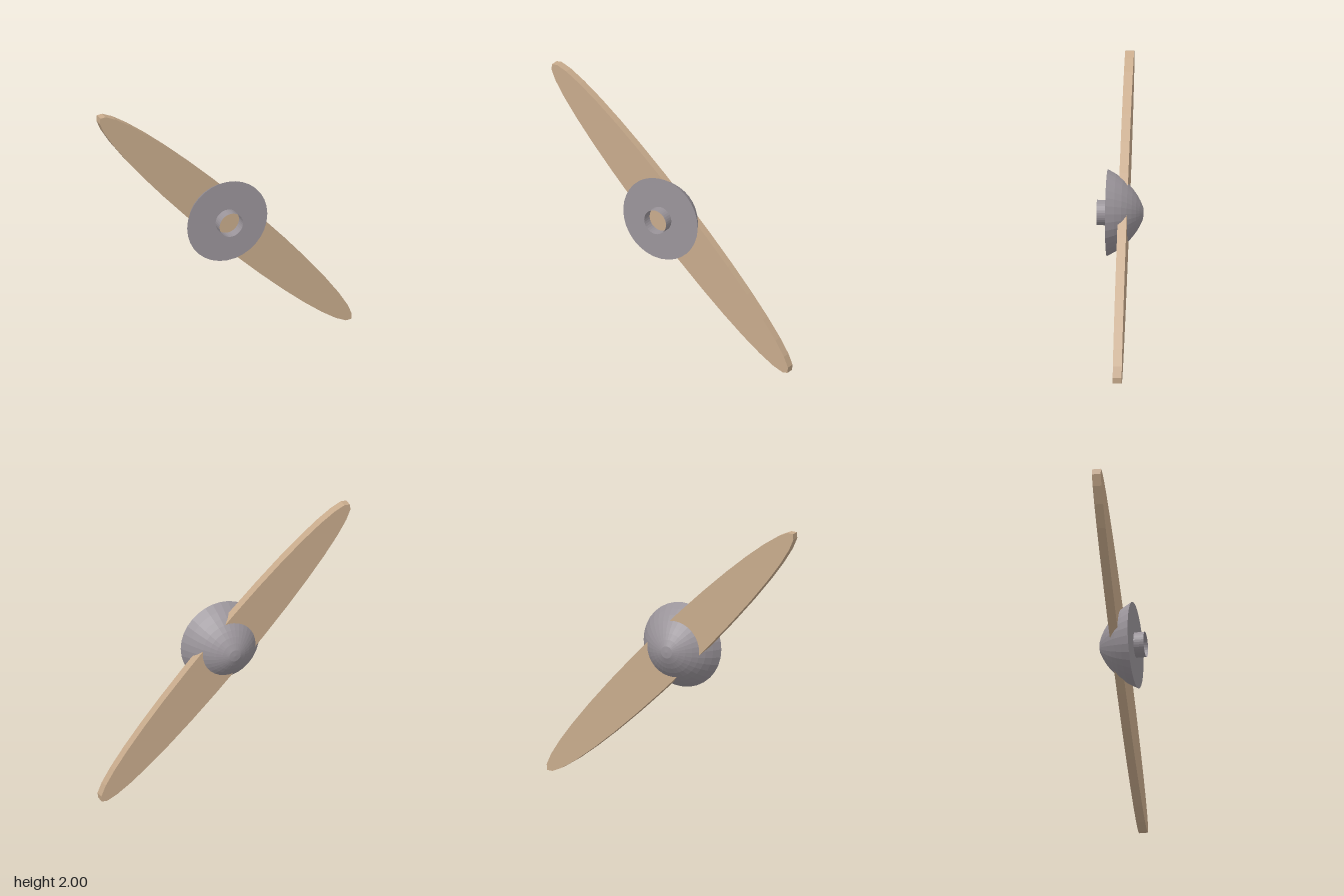
import * as THREE from 'three';

const wood = new THREE.MeshStandardMaterial({ color: 0xc8ab8c });
wood.name = 'wood';
const metal = new THREE.MeshStandardMaterial({ color: 0x9a949a, side: THREE.DoubleSide });
metal.name = 'greyMetal';

// Gives every face its own normal for a faceted look
function facet(geometry) {
  const g = geometry.toNonIndexed();
  g.computeVertexNormals();
  return g;
}

function part(name, geometry, material) {
  const mesh = new THREE.Mesh(facet(geometry), material);
  mesh.name = name;
  return mesh;
}

// Turned part around the z axis, from [radius, z] points
function turned(points) {
  const g = new THREE.LatheGeometry(points.map(([r, z]) => new THREE.Vector2(r, z)), 32);
  return g.rotateX(Math.PI / 2);
}

export function createModel() {
  const model = new THREE.Group();
  model.name = 'propeller';

  // Long elliptical blade, tilted slightly backwards towards its lower tip
  const blade = new THREE.CylinderGeometry(1, 1, 0.065, 32);
  blade.rotateX(Math.PI / 2).scale(1.405, 0.168, 1);
  blade.rotateY(0.0073).rotateZ(THREE.MathUtils.degToRad(-45.2));
  blade.translate(0, 1, -0.024);
  model.add(part('blade', blade, wood));

  // Hub sits a little up the blade from its middle
  const hub = new THREE.Group();
  hub.name = 'hub';
  hub.position.set(-0.025, 1.025, 0);
  const rim = 0.315, bore = 0.092, face = 0.095;

  // Rounded dome at the back
  hub.add(part('dome', turned([
    [0, -0.168], [0.045, -0.163], [0.09, -0.143], [0.132, -0.119], [0.172, -0.09],
    [0.21, -0.056], [0.245, -0.018], [0.28, 0.032], [rim, face],
  ]), metal));

  // Flat front plate with a round hole, and the open shaft sleeve
  hub.add(part('frontPlate', turned([[rim, face], [bore, face]]), metal));
  hub.add(part('shaftSleeve', turned([[bore, face], [bore, 0.17]]), metal));
  model.add(hub);

  return model;
}
